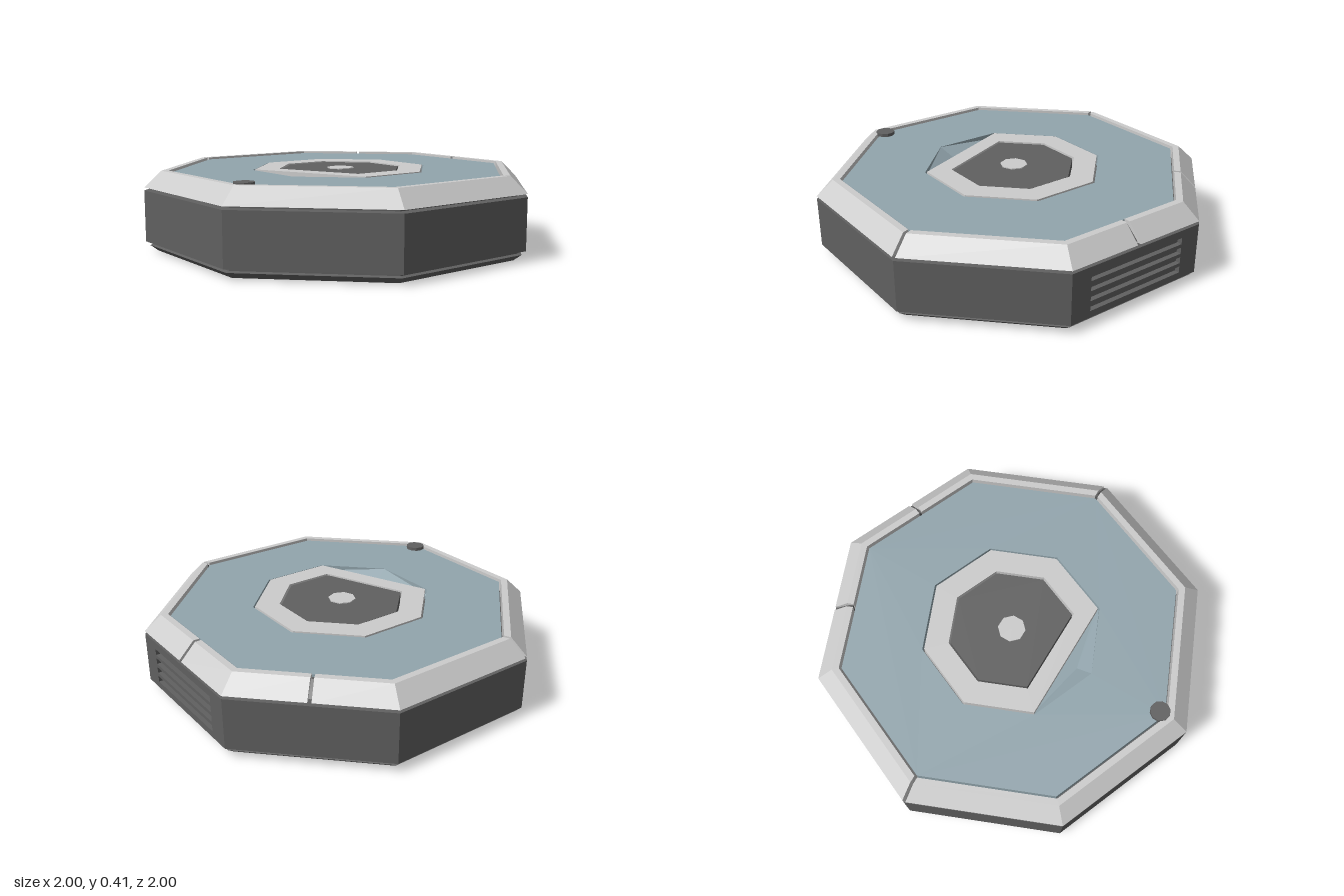
import * as THREE from 'three';

const make = (color, side = THREE.FrontSide) =>
  new THREE.MeshStandardMaterial({ color, flatShading: true, side });
const light = make(0xcccccc);
const dark = make(0x606060);
const glass = make(0x92a5ad, THREE.DoubleSide);

// Corner or edge point of an octagon: t = 0 is +x, t = 2 is the back, t = 6 the front
function octPoint(r, t) {
  const i = Math.floor(t), f = t - i;
  const corner = (k) => new THREE.Vector2(Math.cos(k * Math.PI / 4), Math.sin(k * Math.PI / 4));
  return corner(i).lerp(corner(i + 1), f).multiplyScalar(r);
}
const octagon = (r) => [0, 1, 2, 3, 4, 5, 6, 7].map((t) => octPoint(r, t));
// Octagon with its front corner cut off
const cutOctagon = (r) => octagon(r).filter((p, i) => i !== 6);

// Flat plate standing on height y
function plate(outline, holes, y, depth) {
  const shape = new THREE.Shape(outline);
  shape.holes = holes.map((h) => new THREE.Path(h));
  return new THREE.ExtrudeGeometry(shape, { depth, bevelEnabled: false })
    .rotateX(-Math.PI / 2).translate(0, y, 0);
}

function lathe(points, segments = 8, start = 0) {
  return new THREE.LatheGeometry(points.map((p) => new THREE.Vector2(...p)),
    segments, start, segments * Math.PI / 4);
}

// Closed profile swept along the octagon between two positions, with end caps
function sweptPiece(profile, from, to) {
  const stations = [from];
  for (let t = Math.floor(from) + 1; t < to; t++) stations.push(t);
  stations.push(to);
  const at = (t, [r, y]) => {
    const p = octPoint(r, t);
    return [p.x, y, -p.y];
  };
  const out = [], n = profile.length;
  const tri = (a, b, c) => out.push(...a, ...b, ...c);
  for (let i = 0; i + 1 < stations.length; i++) {
    for (let j = 0; j < n; j++) {
      const p = profile[j], q = profile[(j + 1) % n];
      const a = at(stations[i], p), b = at(stations[i + 1], p);
      const c = at(stations[i + 1], q), d = at(stations[i], q);
      tri(a, b, c);
      tri(a, c, d);
    }
  }
  for (let j = 1; j + 1 < n; j++) {
    tri(at(from, profile[0]), at(from, profile[j]), at(from, profile[j + 1]));
    tri(at(to, profile[0]), at(to, profile[j + 1]), at(to, profile[j]));
  }
  const g = new THREE.BufferGeometry();
  g.setAttribute('position', new THREE.Float32BufferAttribute(out, 3));
  g.computeVertexNormals();
  return g;
}

const rect = (x0, x1, y0, y1) => [[x0, y0], [x1, y0], [x1, y1], [x0, y1]]
  .map((p) => new THREE.Vector2(...p));

export function createModel() {
  const model = new THREE.Group();
  const add = (name, geometry, material, parent = model) => {
    const mesh = new THREE.Mesh(geometry, material);
    mesh.name = name;
    parent.add(mesh);
    return mesh;
  };

  // Underside with the brush pocket
  add('underside', plate(octagon(0.94), [rect(-0.55, 0.55, -0.61, -0.34)], 0, 0.2), dark);
  add('brushPocketRoof', new THREE.BoxGeometry(1.14, 0.02, 0.31).translate(0, 0.21, 0.475), dark);

  // Lower chamfer and groove, side wall, upper groove and inner deck
  add('baseRim', lathe([[0.94, 0], [0.98, 0.03], [0.96, 0.035], [0.96, 0.045], [1, 0.05]]), dark);
  add('sideWall', lathe([[1, 0.05], [1, 0.305]], 7, Math.PI), dark);
  add('innerDeck', lathe([[1, 0.305], [0.95, 0.307], [0.95, 0.32], [0.975, 0.325],
    [0.9, 0.385], [0.885, 0.385], [0.885, 0.33], [0, 0.33]]), dark);

  // Slotted vent filling the remaining side of the wall
  const vent = new THREE.Group();
  vent.name = 'vent';
  const half = Math.sin(Math.PI / 8), apothem = Math.cos(Math.PI / 8);
  const grille = new THREE.Shape(rect(-half, half, 0.05, 0.305));
  for (let i = 0; i < 4; i++) {
    const y = 0.1 + i * 0.05;
    grille.holes.push(new THREE.Path(rect(-0.275, 0.275, y - 0.016, y + 0.016)));
  }
  add('ventGrille', new THREE.ExtrudeGeometry(grille, { depth: 0.025, bevelEnabled: false })
    .translate(0, 0, apothem - 0.025), dark, vent);
  add('ventBack', new THREE.BoxGeometry(0.6, 0.22, 0.01).translate(0, 0.175, apothem - 0.03), dark, vent);
  vent.rotation.y = Math.PI * 7 / 8;
  model.add(vent);

  // Bevelled bumper ring in four pieces with narrow seams between them
  const bezel = [[0.94, 0.314], [1, 0.32], [0.915, 0.4], [0.88, 0.4], [0.88, 0.335]];
  const seams = [0, 1.5, 2.5, 4, 8], gap = 0.012;
  for (let i = 0; i < 4; i++) {
    add('bumperPiece', sweptPiece(bezel, seams[i] + gap, seams[i + 1] - gap), light);
  }

  // Top panel and the layered centre
  add('topPanel', plate(octagon(0.868), [octagon(0.46)], 0.33, 0.06), glass);
  add('centreRing', plate(cutOctagon(0.45), [cutOctagon(0.325)], 0.33, 0.063), light);
  add('centrePlate', plate(cutOctagon(0.315), [], 0.33, 0.058), dark);
  add('centreButton', new THREE.CylinderGeometry(0.07, 0.07, 0.04, 8)
    .rotateY(Math.PI / 8).translate(0, 0.373, 0), light);

  // Sloping finger notch in front of the ring
  const a = [-0.325, 0.36, 0.325], b = [0.325, 0.36, 0.325];
  const f = [0, 0.389, 0.46], m = [0, 0.345, 0.38];
  const a2 = [-0.32, 0.35, 0.31], b2 = [0.32, 0.35, 0.31];
  const notch = new THREE.BufferGeometry();
  notch.setAttribute('position', new THREE.Float32BufferAttribute(
    [a, f, m, m, f, b, a, m, a2, a2, m, b2, b2, m, b].flat(), 3));
  notch.computeVertexNormals();
  add('fingerNotch', notch, glass);

  // Front sensor
  add('frontSensor', new THREE.CylinderGeometry(0.05, 0.05, 0.025, 10).translate(0, 0.395, 0.84), dark);

  return model;
}
